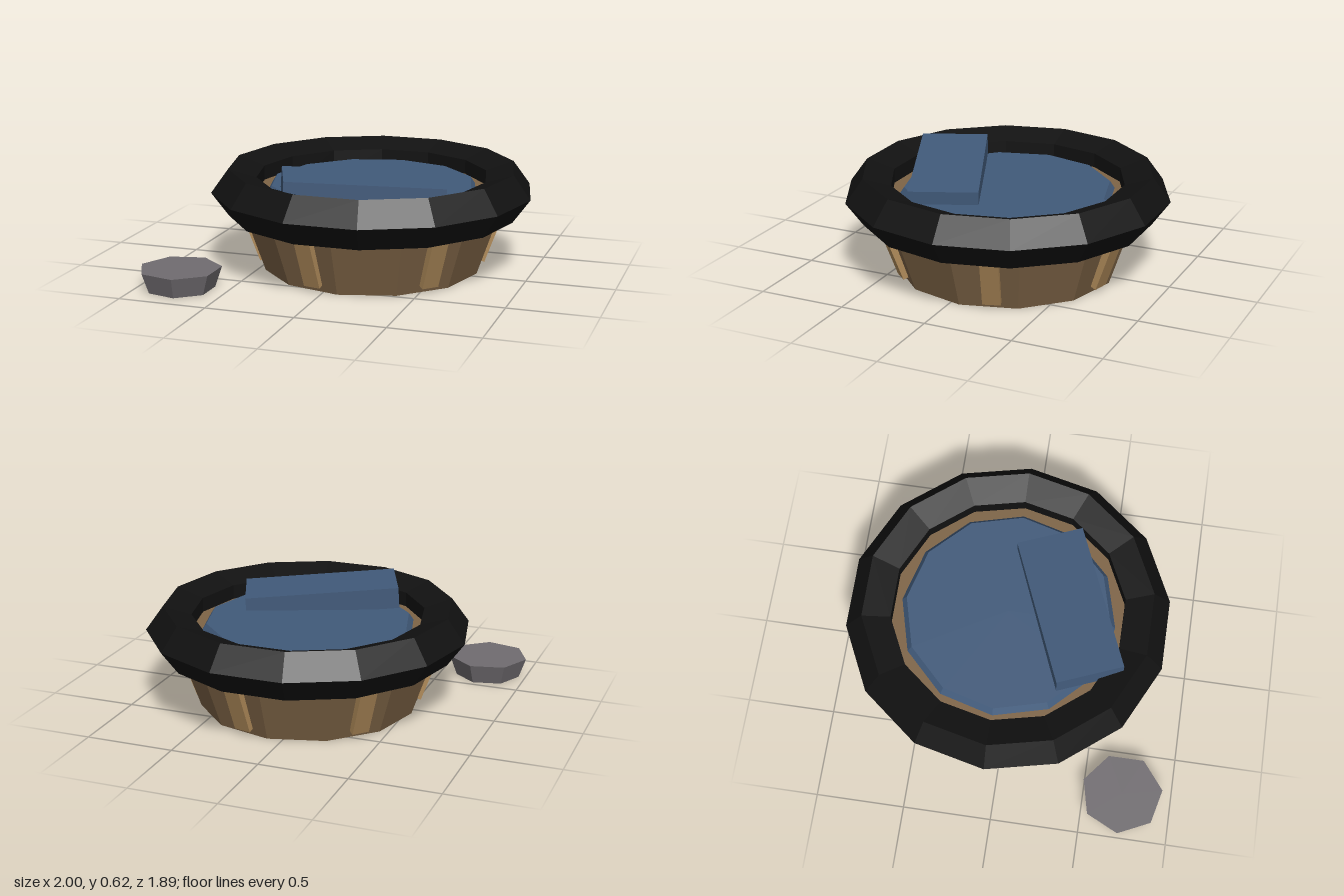
import * as THREE from 'three';

const material = (name, color) => {
  const m = new THREE.MeshStandardMaterial({ color, flatShading: true });
  m.name = name;
  return m;
};

export function createModel() {
  const wood = material('brown wicker', 0x7e6446);
  const paleWood = material('light wicker', 0xb08b5a);
  const black = material('black rim', 0x111111);
  const blue = material('blue cushion', 0x415a7a);
  const grey = material('grey stone', 0x706c70);

  const model = new THREE.Group();
  model.name = 'basketBed';
  const basket = new THREE.Group();
  basket.name = 'basket';
  basket.position.set(0.085, 0, -0.055);
  model.add(basket);

  const add = (parent, name, geometry, mat, x, y, z) => {
    const mesh = new THREE.Mesh(geometry, mat);
    mesh.name = name;
    mesh.position.set(x, y, z);
    parent.add(mesh);
    return mesh;
  };

  // Flared basket body
  add(basket, 'basketBody', new THREE.CylinderGeometry(0.775, 0.62, 0.45, 12), wood, 0, 0.225, 0);

  // Thick rim with a five-sided section
  const rim = add(basket, 'rim', new THREE.TorusGeometry(0.775, 0.142, 5, 14), black, 0, 0.45, 0);
  rim.rotation.x = Math.PI / 2;

  // Six leaning staves round the body
  const staveGeometry = new THREE.BoxGeometry(0.1, 0.42, 0.04);
  for (let i = 0; i < 6; i++) {
    const holder = new THREE.Group();
    holder.name = 'staveHolder';
    holder.rotation.y = Math.PI / 2 + 0.3 + (i * Math.PI) / 3;
    const stave = add(holder, 'stave', staveGeometry, paleWood, 0, 0.234, 0.697);
    stave.rotation.x = 0.352;
    basket.add(holder);
  }

  // Round cushion inside the rim
  add(basket, 'cushion', new THREE.CylinderGeometry(0.58, 0.62, 0.06, 12), blue, 0, 0.461, 0);

  // Folded blanket tilted across the front
  const blanket = add(model, 'blanket', new THREE.BoxGeometry(0.88, 0.12, 0.383), blue, 0.136, 0.532, 0.284);
  blanket.rotation.set(0, 0.39, -0.064);

  // Low stone dish beside the basket
  const dish = add(model, 'stoneDish', new THREE.CylinderGeometry(0.23, 0.19, 0.115, 7), grey, -0.77, 0.0575, 0.718);
  dish.rotation.y = -Math.PI / 2;

  return model;
}
